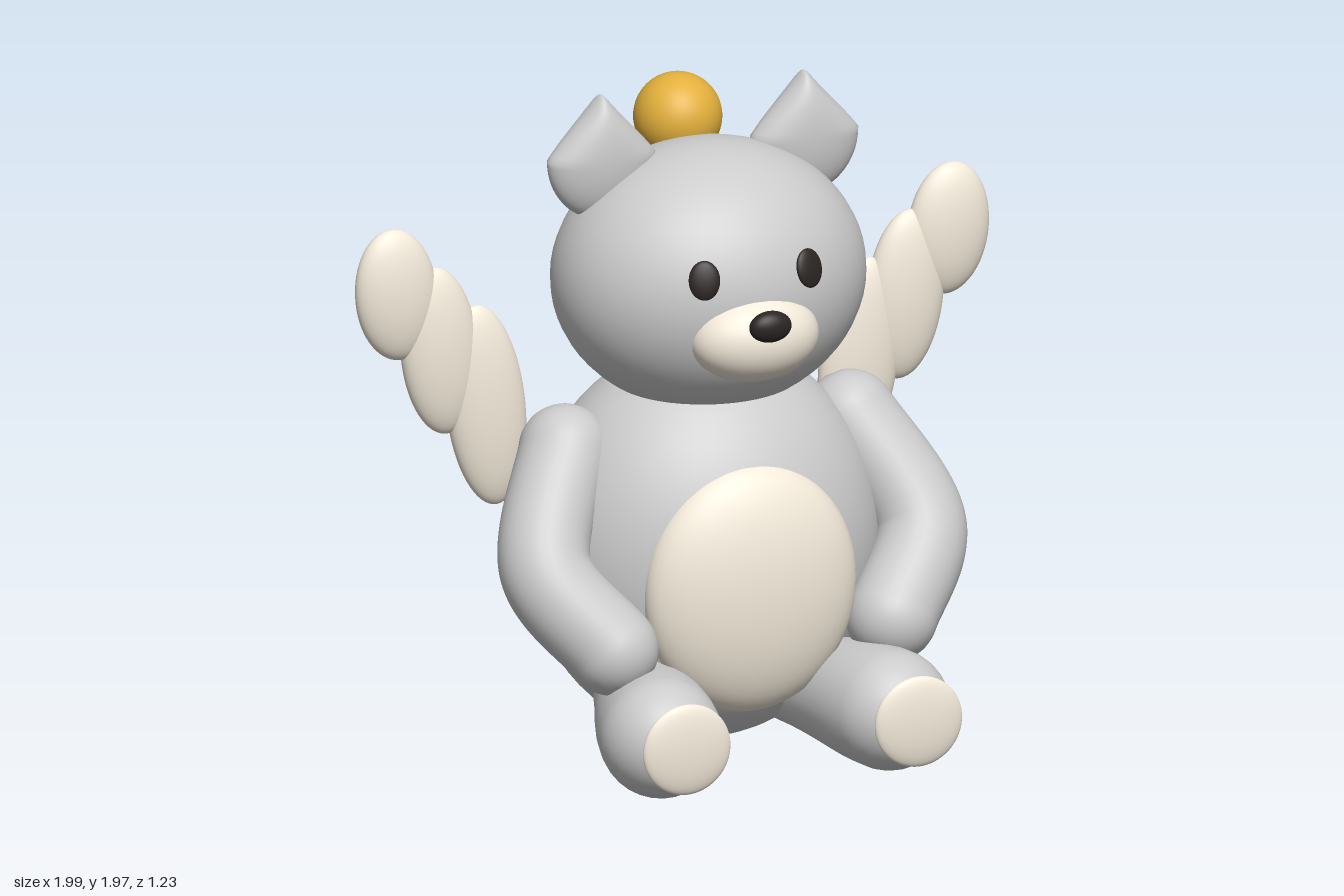
import * as THREE from 'three';
import { mergeVertices } from 'three/addons/utils/BufferGeometryUtils.js';

const V = (x, y, z) => new THREE.Vector3(x, y, z);
const material = (color) => new THREE.MeshStandardMaterial({ color });

export function createModel() {
  const model = new THREE.Group();
  const grey = material(0xcccccc);
  const cream = material(0xf3eada);
  const gold = material(0xe3b03c);
  const dark = material(0x2b2523);

  function add(name, geometry, mat, position = [0, 0, 0]) {
    const mesh = new THREE.Mesh(geometry, mat);
    mesh.name = name;
    mesh.position.set(...position);
    model.add(mesh);
    return mesh;
  }

  const ellipsoid = (rx, ry, rz) => new THREE.SphereGeometry(1, 48, 32).scale(rx, ry, rz);

  // Round-ended limb swept along points, with radius going from r0 to r1
  function limb(points, r0, r1) {
    const n = points.length;
    const start = points[0].clone().sub(points[1]).setLength(r0).add(points[0]);
    const end = points[n - 1].clone().sub(points[n - 2]).setLength(r1).add(points[n - 1]);
    const path = new THREE.CatmullRomCurve3([start, ...points, end]);
    const length = path.getLength();
    const segments = 96, sides = 32;
    const geometry = new THREE.TubeGeometry(path, segments, 1, sides);
    const pos = geometry.attributes.position;
    const v = V(0, 0, 0);
    for (let i = 0; i <= segments; i++) {
      const u = i / segments;
      const centre = path.getPointAt(u);
      const a = Math.max(0, 1 - (u * length) / r0);
      const b = Math.max(0, 1 - ((1 - u) * length) / r1);
      const radius = THREE.MathUtils.lerp(r0, r1, THREE.MathUtils.smoothstep(u, 0.1, 0.75)) *
        Math.sqrt(Math.max(0, 1 - a * a - b * b));
      for (let j = 0; j <= sides; j++) {
        const k = i * (sides + 1) + j;
        v.fromBufferAttribute(pos, k).sub(centre).multiplyScalar(radius).add(centre);
        pos.setXYZ(k, v.x, v.y, v.z);
      }
    }
    geometry.deleteAttribute('uv');
    geometry.deleteAttribute('normal');
    const welded = mergeVertices(geometry, 1e-5);
    welded.computeVertexNormals();
    return welded;
  }

  // Flattened ear, narrowed to a point at the top
  function earGeometry() {
    const geometry = new THREE.SphereGeometry(1, 48, 40);
    const pos = geometry.attributes.position;
    for (let i = 0; i < pos.count; i++) {
      pos.setX(i, pos.getX(i) * (1 - 0.8 * Math.max(0, pos.getY(i))));
    }
    geometry.scale(0.168, 0.187, 0.078);
    geometry.computeVertexNormals();
    return geometry;
  }

  // Torso and head
  add('body', ellipsoid(0.53, 0.59, 0.45), grey, [0, 0.6, -0.165]);
  add('belly', ellipsoid(0.33, 0.375, 0.14), cream, [0, 0.55, 0.19]);
  add('head', ellipsoid(0.47, 0.4, 0.405), grey, [0, 1.42, -0.125]);
  add('muzzle', ellipsoid(0.197, 0.133, 0.135), cream, [0, 1.322, 0.22]);
  add('nose', ellipsoid(0.065, 0.047, 0.036), dark, [0, 1.385, 0.345]);

  // Ball on the back of the head, with a short stalk
  add('ball', ellipsoid(0.13, 0.13, 0.13), gold, [0, 1.83, -0.355]);
  const stalk = add('ballStalk', new THREE.CylinderGeometry(0.04, 0.04, 0.14, 24), gold, [0, 1.765, -0.385]);
  stalk.rotation.x = 0.4;

  const feathers = [
    ['outerFeather', 0.87, 1.375, 0.126, 0.2, 0.1],
    ['middleFeather', 0.733, 1.19, 0.12, 0.256, 0.1],
    ['innerFeather', 0.588, 1.008, 0.122, 0.308, 0.12],
  ];

  for (const [side, s] of [['left', 1], ['right', -1]]) {
    add(side + 'Ear', earGeometry(), grey, [s * 0.32, 1.797, -0.167]);

    // Eye disc turned to follow the head surface
    const eye = add(side + 'Eye', ellipsoid(0.046, 0.058, 0.016), dark, [s * 0.165, 1.515, 0.242]);
    eye.lookAt(s * 0.165 + s * 0.75, 1.515 + 0.59, 0.242 + 2.24);

    add(side + 'Arm', limb(
      [V(s * 0.45, 0.93, -0.13), V(s * 0.59, 0.63, 0.065), V(s * 0.44, 0.415, 0.205)], 0.135, 0.135), grey);
    add(side + 'Leg', limb(
      [V(s * 0.25, 0.18, -0.04), V(s * 0.31, 0.188, 0.18), V(s * 0.36, 0.19, 0.38)], 0.135, 0.18), grey);
    add(side + 'FootPad', ellipsoid(0.137, 0.137, 0.03), cream, [s * 0.365, 0.21, 0.588]);

    // Wing feathers, longest nearest the body
    for (const [name, x, y, rx, ry, tilt] of feathers) {
      const label = side + name[0].toUpperCase() + name.slice(1);
      const feather = add(label, ellipsoid(rx, ry, 0.062), cream, [s * x, y, -0.398]);
      feather.rotation.z = -s * tilt;
    }
  }
  return model;
}
